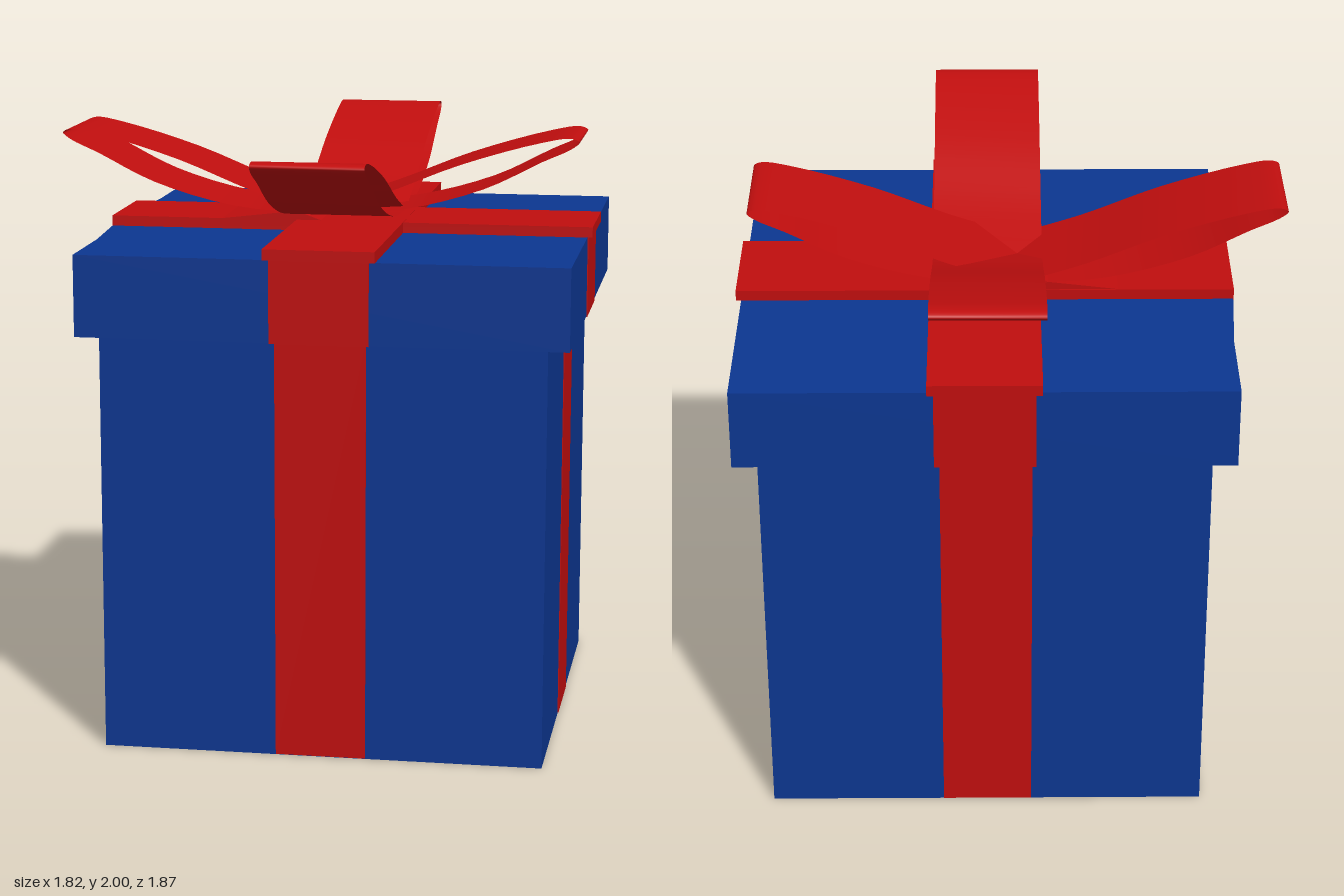
import * as THREE from 'three';

export function createModel() {
  const model = new THREE.Group();
  const blue = new THREE.MeshStandardMaterial({ color: 0x0c3690 });
  const red = new THREE.MeshStandardMaterial({ color: 0xc00e0e });
  const bowRed = new THREE.MeshStandardMaterial({ color: 0xc00e0e, side: THREE.DoubleSide });

  const add = (name, geometry, material) => {
    const mesh = new THREE.Mesh(geometry, material);
    mesh.name = name;
    model.add(mesh);
    return mesh;
  };
  // Box given by its lower and upper bounds
  const block = (name, material, [x0, x1], [y0, y1], [z0, z1]) => {
    const g = new THREE.BoxGeometry(x1 - x0, y1 - y0, z1 - z0);
    g.translate((x0 + x1) / 2, (y0 + y1) / 2, (z0 + z1) / 2);
    return add(name, g, material);
  };
  const shapeOf = (pts) => new THREE.Shape(pts.map(([x, y]) => new THREE.Vector2(x, y)));

  // Box body with its two flush ribbon bands
  block('boxBody', blue, [-0.65, 0.815], [0, 1.41], [-0.735, 0.73]);
  block('bodyRibbonFrontBack', red, [-0.07, 0.23], [0.002, 1.405], [-0.738, 0.733]);
  block('bodyRibbonSides', red, [-0.653, 0.818], [0.002, 1.405], [-0.155, 0.145]);

  // Lid, its left side bulging slightly under the ribbon
  const lid = new THREE.ExtrudeGeometry(shapeOf([
    [0.888, -0.838], [0.888, 0.775], [-0.722, 0.775], [-0.722, 0.45],
    [-0.742, 0.14], [-0.742, -0.2], [-0.722, -0.52], [-0.722, -0.838],
  ]), { depth: 0.27, bevelEnabled: false });
  lid.rotateX(Math.PI / 2).translate(0, 1.67, 0);
  add('lid', lid, blue);
  block('lidRibbonFrontBack', red, [-0.08, 0.245], [1.398, 1.671], [-0.841, 0.778]);
  block('lidRibbonSides', red, [-0.744, 0.891], [1.398, 1.671], [-0.19, 0.135]);

  // Raised ribbons crossing on top, overhanging the lid edges
  block('topRibbonFrontBack', red, [-0.1, 0.265], [1.67, 1.706], [-0.86, 0.785]);
  block('topRibbonSides', red, [-0.742, 0.905], [1.67, 1.705], [-0.22, 0.145]);

  // Low fold of ribbon beneath the bow
  const fold = new THREE.ExtrudeGeometry(
    shapeOf([[-0.4, 1.7], [0.0, 1.7], [-0.1, 1.736]]), { depth: 0.36, bevelEnabled: false });
  fold.translate(0, 0, -0.215);
  add('ribbonFold', fold, red);

  // Bow loops: a thin strip following a closed leaf profile (distance out, height)
  const profile = new THREE.CatmullRomCurve3([
    [0, 1.727], [0.33, 1.75], [0.64, 1.825], [0.86, 1.92], [0.97, 1.965], [1, 1.988],
    [0.97, 2.0], [0.86, 1.985], [0.55, 1.905], [0.25, 1.8], [0, 1.73],
  ].map(([s, y]) => new THREE.Vector3(0, y, s)));
  const bowLoop = (name, length, x, z, turn) => {
    const steps = 40;
    const g = new THREE.PlaneGeometry(0.365, 1, 1, steps);
    const p = g.attributes.position;
    for (let i = 0; i < p.count; i++) {
      const c = profile.getPoint(Math.floor(i / 2) / steps);
      p.setXYZ(i, p.getX(i), c.y, c.z * length);
    }
    g.computeVertexNormals();
    const loop = add(name, g, bowRed);
    loop.position.set(x, 0, z);
    loop.rotation.y = turn;
  };
  bowLoop('bowLoopFront', 0.935, 0.072, -0.003, 0);
  bowLoop('bowLoopBack', 0.935, 0.072, -0.003, Math.PI);
  bowLoop('bowLoopLeft', 0.883, -0.027, -0.035, Math.PI / 2);
  bowLoop('bowLoopRight', 0.883, -0.027, -0.035, -Math.PI / 2);

  return model;
}
